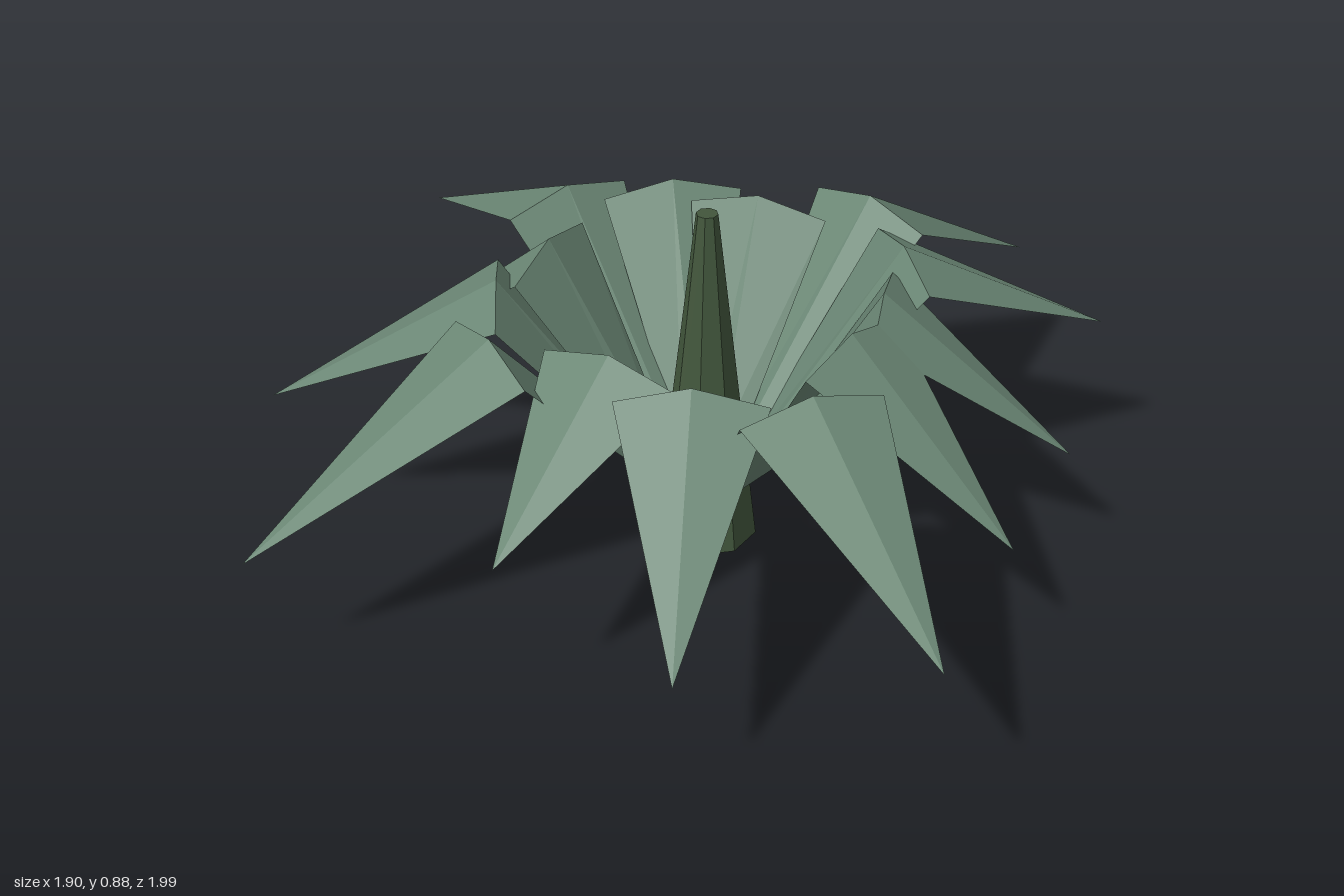
import * as THREE from 'three';

const COUNT = 13;
const REACH = [0.868, 1.182, 1.024]; // short, long and middling leaves

// A folded leaf along +x: rising blade, shoulder fold, drooping pointed tip.
function leafGeometry(reach, tipY) {
  const fold = reach * 0.475;
  const sections = [ // [radius, ridge height, edge height, half width]
    [0.095, 0.17, 0.15, 0.04],
    [fold, 0.712, 0.67, 0.172],
    [reach, tipY, tipY, 0],
  ];
  const pos = [];
  const index = [];
  for (const [r, ridge, edge, half] of sections) {
    pos.push(r, edge, -half, r, ridge, 0, r, edge, half);
  }
  for (let s = 0; s < 2; s++) {
    for (let k = 0; k < 2; k++) {
      const a = s * 3 + k, b = a + 1, c = a + 3, d = a + 4;
      if (s === 0) index.push(a, b, d, a, d, c);
      else index.push(a, b, 7); // the last section is a single point
    }
  }
  const geo = new THREE.BufferGeometry();
  geo.setAttribute('position', new THREE.Float32BufferAttribute(pos, 3));
  geo.setIndex(index);
  const flat = geo.toNonIndexed();
  flat.computeVertexNormals();
  return flat;
}

export function createModel() {
  const model = new THREE.Group();
  model.name = 'plant';

  const leafGreen = new THREE.MeshStandardMaterial({ color: 0x6b8775, side: THREE.DoubleSide, flatShading: true });
  leafGreen.name = 'sage green';
  const stemGreen = new THREE.MeshStandardMaterial({ color: 0x42563c, flatShading: true });
  stemGreen.name = 'dark stem green';

  // Tapered eight-sided stem
  const plant = new THREE.Group();
  plant.name = 'stemAndLeaves';
  plant.position.set(0.04, 0, -0.02);
  model.add(plant);
  const stem = new THREE.Mesh(new THREE.CylinderGeometry(0.026, 0.125, 0.875, 8), stemGreen);
  stem.name = 'stem';
  stem.position.y = 0.4375;
  plant.add(stem);

  // Ring of leaves, lengths cycling by three and droop alternating
  for (let i = 0; i < COUNT; i++) {
    const tipY = i % 2 ? 0.413 : 0.325;
    const leaf = new THREE.Mesh(leafGeometry(REACH[i % 3], tipY), leafGreen);
    leaf.name = 'leaf' + (i + 1);
    leaf.rotation.y = -(i + 1) * Math.PI * 2 / COUNT;
    plant.add(leaf);
  }
  return model;
}
